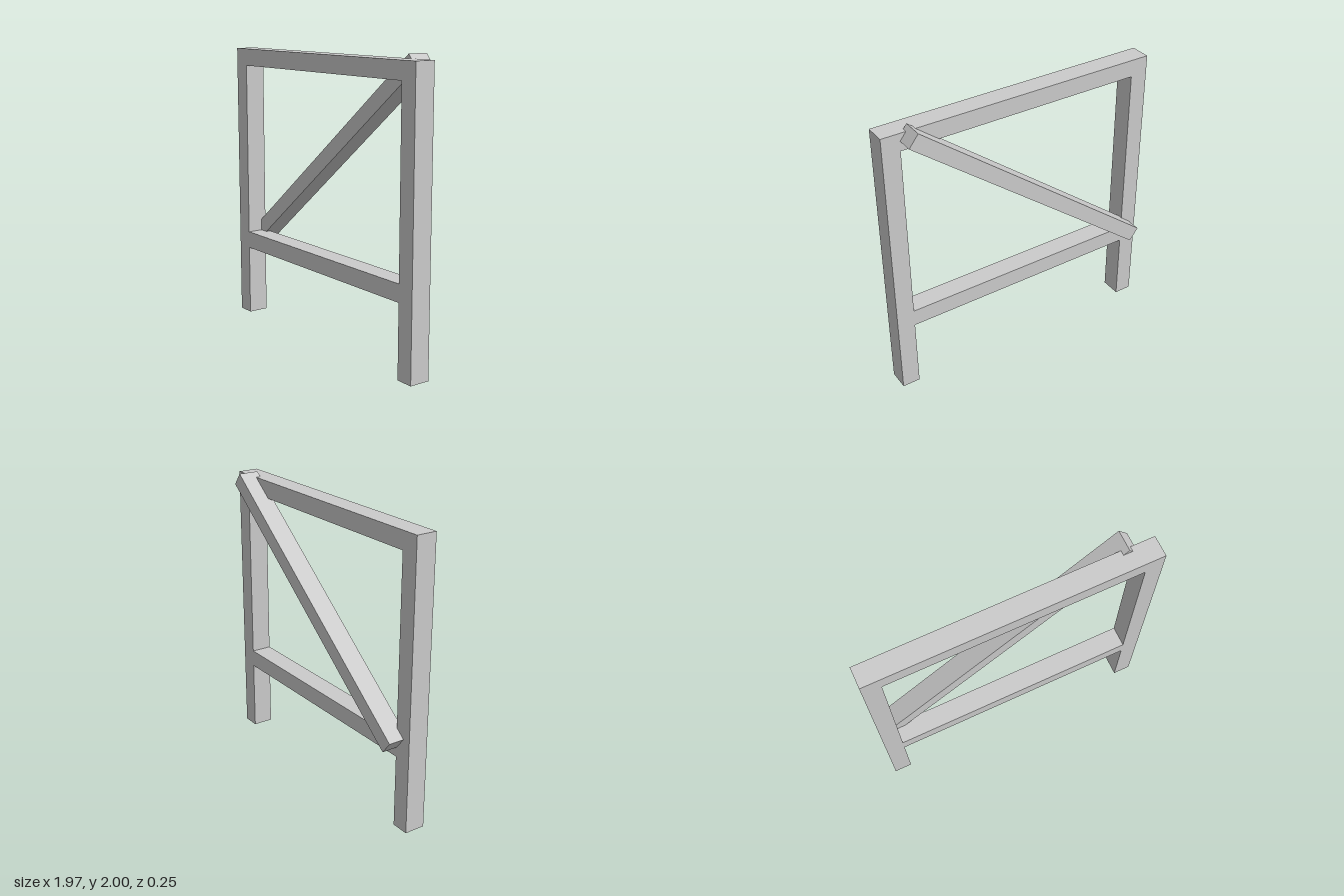
import * as THREE from 'three';

const material = new THREE.MeshStandardMaterial({ color: 0xcccccc, flatShading: true });

// A square-cut timber, placed by its centre
function beam(name, width, height, depth, x, y, z) {
  const mesh = new THREE.Mesh(new THREE.BoxGeometry(width, height, depth), material);
  mesh.name = name;
  mesh.position.set(x, y, z);
  return mesh;
}

export function createModel() {
  const group = new THREE.Group();
  group.name = 'bracedFrame';

  const depth = 0.144, frameZ = 0.055;
  const halfWidth = 0.985, post = 0.124, top = 1.97, rail = 0.12;
  const inner = 2 * (halfWidth - post);

  // Upright posts
  for (const [name, side] of [['leftPost', 1], ['rightPost', -1]]) {
    group.add(beam(name, post, top, depth, side * (halfWidth - post / 2), top / 2, frameZ));
  }

  // Rails between the posts
  group.add(beam('topRail', inner, rail, depth, 0, top - rail / 2, frameZ));
  group.add(beam('lowerRail', inner, rail, depth, 0, 0.56, frameZ));

  // Diagonal brace let into the back of the frame
  const brace = beam('diagonalBrace', 2.19, 0.106, depth, -0.035, 1.283, -frameZ);
  brace.rotation.z = THREE.MathUtils.degToRad(38.1);
  group.add(brace);

  return group;
}
